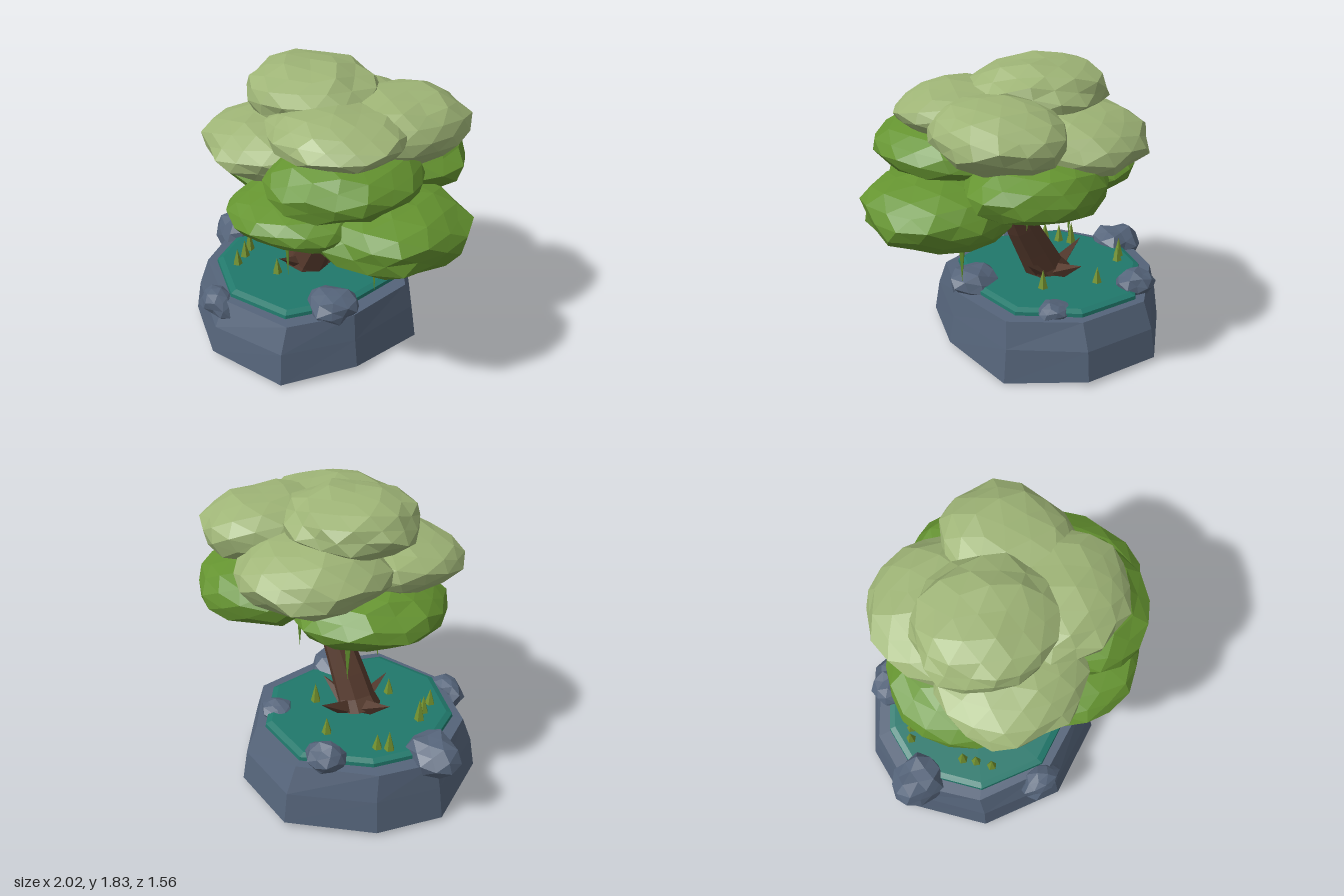
import * as THREE from 'three';

const mat = (name, color) => Object.assign(new THREE.MeshStandardMaterial({ color }), { name });
const rock = mat('slate rock', 0x55647a);
const moss = mat('teal moss', 0x20786b);
const bark = mat('brown bark', 0x55392c);
const leaf = mat('leaf green', 0x659430);
const paleLeaf = mat('pale leaf green', 0x9eb476);
const shade = mat('dark leaf underside', 0x132b25);
const blade = mat('grass green', 0x739230);

const V = (x, y, z) => new THREE.Vector3(x, y, z);

// Repeatable value from 0 to 1 for a position, so shared corners stay joined
function hash(v, seed) {
  const q = (n) => Math.round(n * 1000) / 1000;
  const s = Math.sin(q(v.x) * 12.99 + q(v.y) * 78.23 + q(v.z) * 37.72 + seed * 4.13) * 437.58;
  return s - Math.floor(s);
}

function fromTriangles(points) {
  const g = new THREE.BufferGeometry().setFromPoints(points);
  g.computeVertexNormals();
  return g;
}

function add(parent, name, geometry, material) {
  const m = new THREE.Mesh(geometry, material);
  m.name = name;
  parent.add(m);
}

// Faceted skin over rings listed from bottom to top, closed at both ends
function loft(rings) {
  const pts = [], n = rings[0].length;
  const mid = (r) => r.reduce((s, p) => s.add(p), V(0, 0, 0)).divideScalar(n);
  const last = rings[rings.length - 1], low = mid(rings[0]), high = mid(last);
  for (let j = 0; j < n; j++) {
    const k = (j + 1) % n;
    for (let i = 0; i + 1 < rings.length; i++) {
      const a = rings[i], b = rings[i + 1];
      pts.push(a[j], a[k], b[k], a[j], b[k], b[j]);
    }
    pts.push(low, rings[0][k], rings[0][j], high, last[j], last[k]);
  }
  return fromTriangles(pts);
}

// Faceted lump; triangles below capLevel go to a second material group
function lump(center, radius, detail, rough, seed, capLevel = -2) {
  const p = new THREE.IcosahedronGeometry(1, detail).attributes.position;
  const top = [], cap = [];
  const turn = new THREE.Euler(seed * 0.7, seed * 1.3, 0);
  for (let i = 0; i < p.count; i += 3) {
    const tri = [0, 1, 2].map((k) => V(0, 0, 0).fromBufferAttribute(p, i + k).applyEuler(turn));
    const level = (tri[0].y + tri[1].y + tri[2].y) / 3;
    const out = tri.map((v) => v.clone().multiplyScalar(1.05 - rough * hash(v, seed))
      .multiply(V(...radius)).add(V(...center)));
    (level < capLevel ? cap : top).push(...out);
  }
  const g = fromTriangles([...top, ...cap]);
  g.addGroup(0, top.length, 0);
  g.addGroup(top.length, cap.length, 1);
  return g;
}

// Pointed sliver from a base point to a tip
function spike(parent, name, from, to, radius, material, sides = 4) {
  const a = V(...from), d = V(...to).sub(a), len = d.length();
  const g = new THREE.ConeGeometry(radius, len, sides).toNonIndexed();
  g.computeVertexNormals();
  g.translate(0, len / 2, 0);
  g.applyQuaternion(new THREE.Quaternion().setFromUnitVectors(V(0, 1, 0), d.normalize()));
  g.translate(a.x, a.y, a.z);
  add(parent, name, g, material);
}

function group(parent, name) {
  const g = new THREE.Group();
  g.name = name;
  parent.add(g);
  return g;
}

export function createModel() {
  const model = new THREE.Group();
  model.name = 'tree on rock';

  // Rock base and mossy top share one outline
  const outline = [
    [-0.97, 0.02, 0.1], [-0.69, 0.03, 0.58], [-0.2, 0.05, 0.77], [0.3, 0.02, 0.61], [0.46, 0.04, 0.15],
    [0.4, 0.0, -0.38], [0.0, 0.03, -0.69], [-0.5, 0.03, -0.7], [-0.87, 0.02, -0.3],
  ];
  const ring = (sx, sz, y) => outline.map(([x, by, z]) =>
    V(-0.25 + (x + 0.25) * sx, y ?? by, z * sz));
  const base = group(model, 'base');
  add(base, 'rockBase', loft([ring(1, 1), ring(0.96, 0.96, 0.22), ring(0.92, 0.86, 0.385), ring(0.74, 0.74, 0.39)]), rock);
  add(base, 'mossTop', loft([ring(0.8, 0.8, 0.36), ring(0.79, 0.79, 0.41), ring(0.74, 0.74, 0.425)]), moss);

  // Boulders around the rim
  [
    [[-0.83, 0.385, 0.13], [0.19, 0.13, 0.17]],
    [[-0.28, 0.335, 0.67], [0.16, 0.1, 0.1]],
    [[0.25, 0.405, 0.18], [0.19, 0.11, 0.17]],
    [[0.05, 0.4, -0.4], [0.12, 0.06, 0.1]],
    [[-0.54, 0.42, -0.44], [0.13, 0.1, 0.13]],
  ].forEach(([c, r], i) => add(base, 'boulder', lump(c, r, 1, 0.3, i + 3), [rock, rock]));

  // Leaning trunk with upturned roots
  const tree = group(model, 'tree');
  const trunk = [
    [-0.21, 0.4, 0.03, 0.14], [-0.17, 0.47, 0.03, 0.118], [-0.1, 0.6, 0.025, 0.108],
    [0.0, 0.78, 0.015, 0.093], [0.08, 0.96, 0.01, 0.082], [0.13, 1.25, 0.01, 0.07],
  ].map(([x, y, z, r]) => Array.from({ length: 7 }, (_, j) => {
    const t = (j / 7) * Math.PI * 2 + 0.3;
    return V(x - Math.cos(t) * r, y + Math.cos(t) * r * 0.4, z + Math.sin(t) * r);
  }));
  add(tree, 'trunk', loft(trunk), bark);
  [[-0.49, 0.55, 0.06], [0.02, 0.55, -0.08], [-0.17, 0.55, 0.27], [-0.25, 0.55, -0.27]].forEach((tip) =>
    spike(tree, 'root', [-0.2 + (tip[0] + 0.2) * 0.15, 0.42, tip[2] * 0.15], tip, 0.065, bark));

  // Leaf clumps: centre, radii, top colour, height where the dark underside starts
  const canopy = group(tree, 'canopy');
  [
    [[0.57, 1.06, 0.02], [0.45, 0.205, 0.47], leaf, -0.66],
    [[0.22, 1.13, 0.39], [0.43, 0.155, 0.39], leaf, -0.72],
    [[-0.31, 1.17, 0.03], [0.43, 0.185, 0.47], leaf, -0.7],
    [[0.18, 1.25, -0.39], [0.43, 0.2, 0.39], leaf, -0.8],
    [[0.4, 1.36, 0.22], [0.42, 0.18, 0.47], leaf, -0.76],
    [[-0.16, 1.39, 0.27], [0.45, 0.175, 0.43], paleLeaf, -0.72],
    [[-0.17, 1.42, -0.26], [0.45, 0.2, 0.45], paleLeaf, -0.78],
    [[0.32, 1.53, -0.23], [0.39, 0.2, 0.44], paleLeaf, -0.8],
    [[0.29, 1.57, 0.18], [0.42, 0.15, 0.39], paleLeaf, -0.8],
    [[-0.13, 1.65, 0.03], [0.42, 0.18, 0.4], paleLeaf, -0.8],
  ].forEach(([c, r, m, capLevel], i) =>
    add(canopy, 'leafClump', lump(c, r, 2, 0.13, i + 1, capLevel), [m, shade]));

  // Hanging vines
  [
    [-0.28, 1.05, -0.1, 0.68], [0.0, 1.04, 0.33, 0.54], [0.43, 0.92, 0.01, 0.53], [0.15, 1.15, -0.27, 0.9],
  ].forEach(([x, y, z, tip]) => spike(tree, 'vine', [x, y, z], [x + 0.01, tip, z], 0.036, leaf));

  // Grass tufts
  const grass = group(model, 'grass');
  [
    [-0.69, -0.09, 0.55], [-0.64, -0.14, 0.52], [-0.45, 0.4, 0.53], [-0.5, 0.31, 0.54], [-0.55, 0.24, 0.57],
    [-0.35, -0.3, 0.53], [-0.21, 0.26, 0.53], [-0.03, -0.17, 0.55],
  ].forEach(([x, z, tip]) => spike(grass, 'grassBlade', [x, 0.41, z], [x, tip, z], 0.036, blade, 5));

  return model;
}
